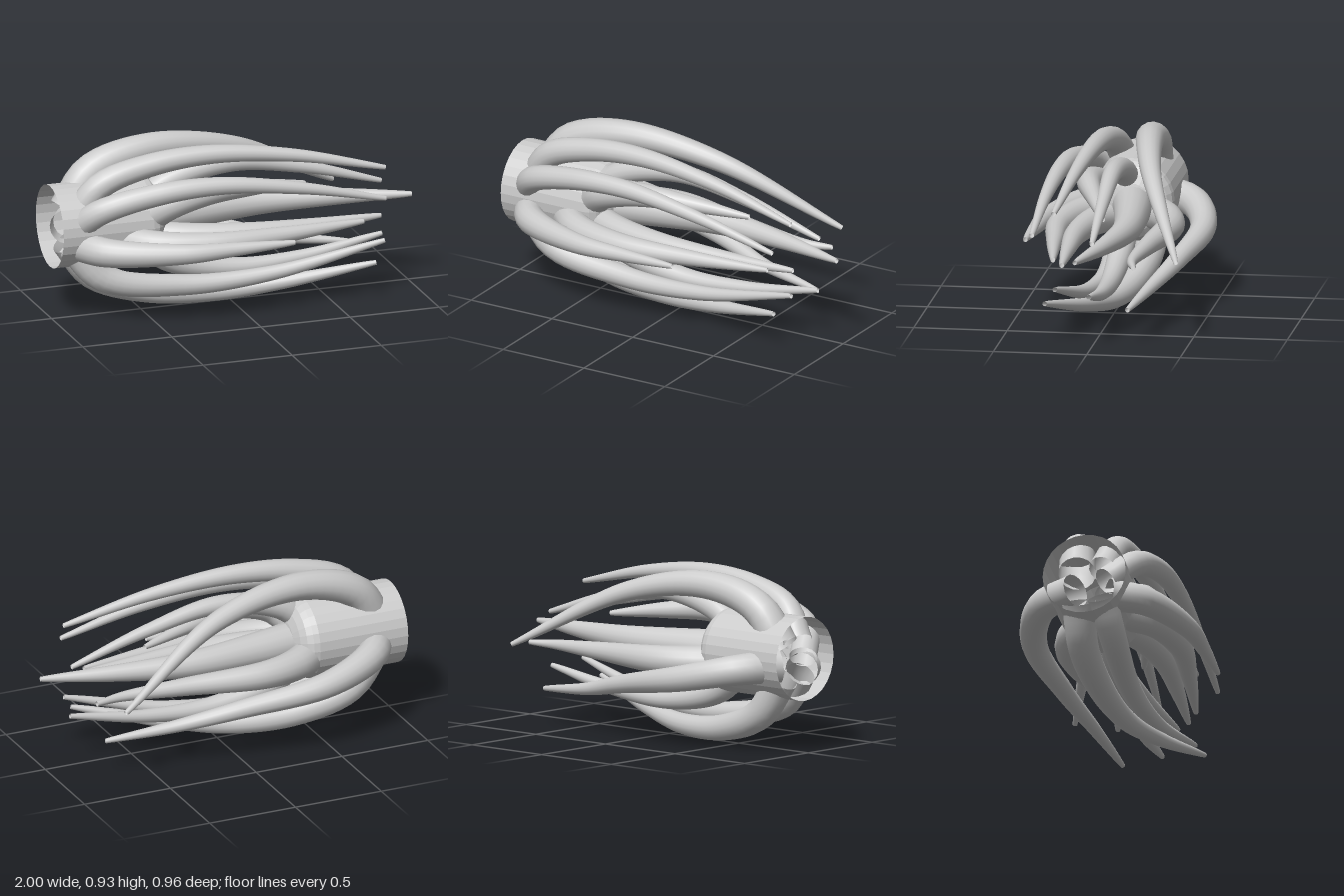
import * as THREE from 'three';

const BODY_Y = 0.51, BODY_Z = -0.027, BODY_R = 0.225;

// Smooth tube along a curve, tapering from the root radius to a fine tip
function taperedTube(points, rootRadius, tipRadius = 0.013) {
  const curve = new THREE.CatmullRomCurve3(points.map(p => new THREE.Vector3(...p)));
  const segments = 36, sides = 16;
  const geo = new THREE.TubeGeometry(curve, segments, 1, sides);
  const pos = geo.attributes.position, nor = geo.attributes.normal;
  for (let i = 0; i <= segments; i++) {
    const t = i / segments;
    const centre = curve.getPointAt(t);
    const r = tipRadius + (rootRadius - tipRadius) * Math.pow(1 - t, 0.85);
    for (let j = 0; j <= sides; j++) {
      const k = i * (sides + 1) + j;
      pos.setXYZ(k, centre.x + nor.getX(k) * r, centre.y + nor.getY(k) * r, centre.z + nor.getZ(k) * r);
    }
  }
  return geo;
}

export function createModel() {
  const group = new THREE.Group();
  const smooth = new THREE.MeshStandardMaterial({ color: 0xcccccc, side: THREE.DoubleSide });
  const faceted = new THREE.MeshStandardMaterial({ color: 0xcccccc, side: THREE.DoubleSide, flatShading: true });

  // Hollow body: open at one end, with a shallow dome at the other
  const profile = [new THREE.Vector2(BODY_R, -1)];
  for (let i = 0; i <= 6; i++) {
    const a = (i / 6) * Math.PI / 2;
    profile.push(new THREE.Vector2(BODY_R * Math.cos(a), -0.49 + 0.12 * Math.sin(a)));
  }
  const body = new THREE.Mesh(new THREE.LatheGeometry(profile, 28), faceted);
  body.name = 'body';
  body.rotation.z = -Math.PI / 2;
  body.position.set(0, BODY_Y, BODY_Z);
  group.add(body);

  // Each tentacle follows a few points from its root inside the body to its tip
  const addTentacle = (name, radius, ...path) => {
    const mesh = new THREE.Mesh(taperedTube(path, radius), smooth);
    mesh.name = name;
    group.add(mesh);
  };

  // Outer ring, rooted near the open end
  addTentacle('outerTopTentacle', 0.1,
    [-0.88, 0.57, -0.09], [-0.75, 0.76, -0.11], [-0.42, 0.855, -0.13], [0.1, 0.78, -0.215], [0.73, 0.455, -0.437]);
  addTentacle('outerUpperTentacle', 0.078,
    [-0.88, 0.58, 0.05], [-0.76, 0.745, 0.09], [-0.5, 0.835, 0.11], [-0.15, 0.868, 0.13], [0.3, 0.825, 0.165], [0.8, 0.715, 0.207]);
  addTentacle('outerFrontUpperTentacle', 0.075,
    [-0.9, 0.5, 0.07], [-0.8, 0.635, 0.2], [-0.5, 0.725, 0.275], [-0.15, 0.747, 0.305], [0.3, 0.69, 0.325], [0.76, 0.585, 0.33]);
  addTentacle('outerFrontTentacle', 0.088,
    [-0.88, 0.43, 0.08], [-0.78, 0.425, 0.25], [-0.4, 0.425, 0.41], [-0.1, 0.43, 0.435], [0.21, 0.435, 0.445]);
  addTentacle('outerLowerTentacle', 0.08,
    [-0.9, 0.41, 0.05], [-0.75, 0.23, 0.08], [-0.3, 0.14, 0.08], [0.2, 0.165, 0.12], [0.8, 0.305, 0.2]);
  addTentacle('outerBottomTentacle', 0.092,
    [-0.88, 0.4, -0.08], [-0.74, 0.2, -0.085], [-0.45, 0.09, -0.05], [-0.1, 0.064, 0.01], [0.25, 0.105, 0.11], [0.73, 0.21, 0.265]);
  addTentacle('outerBackTentacle', 0.092,
    [-0.88, 0.47, -0.1], [-0.76, 0.455, -0.3], [-0.45, 0.39, -0.412], [0, 0.31, -0.345], [0.35, 0.235, -0.25], [0.73, 0.19, -0.178]);

  // Inner ring, rooted on the dome
  addTentacle('innerTopTentacle', 0.07,
    [-0.5, 0.6, -0.005], [-0.35, 0.7, 0], [0, 0.768, 0.005], [0.4, 0.7, 0], [0.85, 0.57, -0.005]);
  addTentacle('innerUpperTentacle', 0.09,
    [-0.48, 0.56, 0.1], [-0.38, 0.625, 0.155], [-0.18, 0.665, 0.16], [0.1, 0.645, 0.09], [0.42, 0.605, 0]);
  addTentacle('middleFrontTentacle', 0.09,
    [-0.64, 0.43, 0.1], [-0.5, 0.43, 0.24], [-0.2, 0.43, 0.32], [0.2, 0.43, 0.29], [0.67, 0.435, 0.23]);
  addTentacle('innerFrontTentacle', 0.085,
    [-0.48, 0.43, 0.07], [-0.3, 0.43, 0.15], [0, 0.43, 0.2], [0.4, 0.43, 0.19], [0.79, 0.435, 0.165]);
  addTentacle('innerBottomTentacle', 0.075,
    [-0.5, 0.4, 0.01], [-0.35, 0.27, 0.015], [0, 0.185, 0.015], [0.4, 0.2, 0.01], [0.85, 0.28, 0.01]);
  addTentacle('innerBackTentacle', 0.095,
    [-0.5, 0.45, -0.12], [-0.35, 0.45, -0.225], [-0.15, 0.45, -0.278], [0.3, 0.44, -0.22], [0.65, 0.435, -0.19], [0.8, 0.435, -0.22]);
  addTentacle('centreTentacle', 0.11,
    [-0.46, 0.5, -0.03], [-0.2, 0.5, -0.065], [0.2, 0.5, -0.09], [0.6, 0.5, -0.03], [1, 0.5, 0.065]);
  return group;
}
